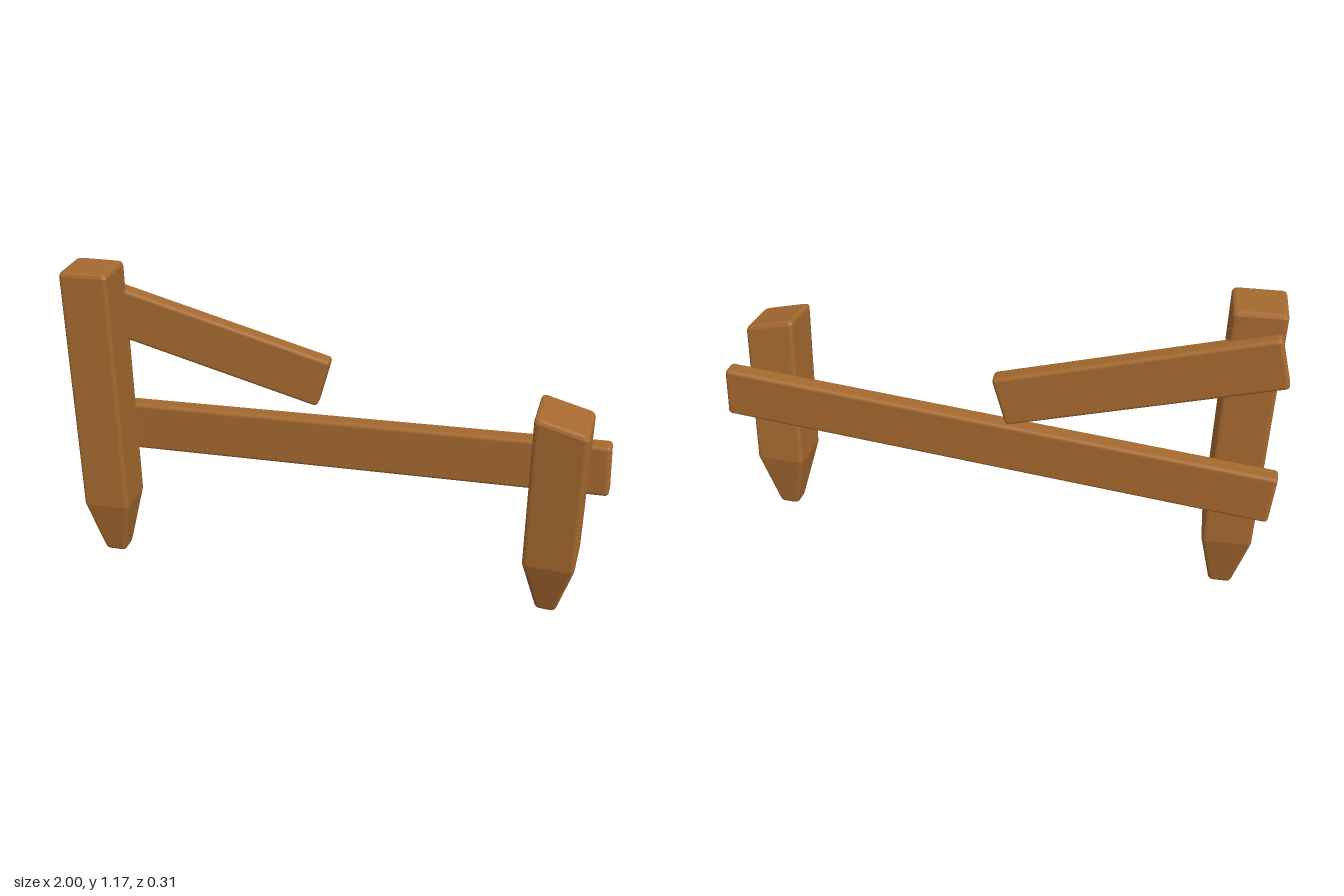
import * as THREE from 'three';
import { RoundedBoxGeometry } from 'three/addons/geometries/RoundedBoxGeometry.js';

const BEVEL = 0.014;

// Square outline with rounded corners, as [x, z] pairs
function roundedSquare(half, radius) {
  const points = [];
  for (let corner = 0; corner < 4; corner++) {
    const mid = (corner + 0.5) * Math.PI / 2;
    const cx = Math.sign(Math.cos(mid)) * (half - radius);
    const cz = Math.sign(Math.sin(mid)) * (half - radius);
    for (let k = 0; k < 4; k++) {
      const a = (corner + k / 3) * Math.PI / 2;
      points.push([cx + radius * Math.cos(a), cz + radius * Math.sin(a)]);
    }
  }
  return points;
}

// Stake lofted through square sections: tapered foot, straight shaft, top cut at a slope
function postGeometry({ height, half, footHalf, shoulder, slope = 0 }) {
  const b = BEVEL;
  const sections = [
    [0, footHalf - b], [b * 0.3, footHalf - b * 0.3], [b, footHalf],
    [shoulder, half],
    [height - b, half], [height - b * 0.3, half - b * 0.3], [height, half - b],
  ];
  const positions = [], index = [], n = 16;
  sections.forEach(([y, h], i) => {
    for (const [x, z] of roundedSquare(h, b)) positions.push(x, y - (i > 3 ? slope * x : 0), z);
  });
  for (let i = 0; i < sections.length - 1; i++) {
    for (let j = 0; j < n; j++) {
      const a = i * n + j, c = i * n + (j + 1) % n;
      index.push(a, a + n, c, c, a + n, c + n);
    }
  }
  // End caps
  const last = (sections.length - 1) * n, bottom = positions.length / 3, top = bottom + 1;
  positions.push(0, 0, 0, 0, height, 0);
  for (let j = 0; j < n; j++) {
    const k = (j + 1) % n;
    index.push(bottom, j, k, top, last + k, last + j);
  }
  const geometry = new THREE.BufferGeometry();
  geometry.setAttribute('position', new THREE.Float32BufferAttribute(positions, 3));
  geometry.setIndex(index);
  const flat = geometry.toNonIndexed();
  flat.computeVertexNormals();
  return flat;
}

export function createModel() {
  const group = new THREE.Group();
  const wood = new THREE.MeshStandardMaterial({ color: 0xa5692f });

  function add(name, geometry, position, rotation) {
    const mesh = new THREE.Mesh(geometry, wood);
    mesh.name = name;
    mesh.position.set(...position);
    mesh.rotation.set(...rotation, 'YXZ');
    group.add(mesh);
  }

  // Tall upright post, slightly twisted
  add('tallPost', postGeometry({ height: 1.17, half: 0.088, footHalf: 0.043, shoulder: 0.23 }),
    [-0.855, 0, 0.036], [0, 0.087, 0]);

  // Short post leaning forward, with a slanted top
  add('shortPost', postGeometry({ height: 0.803, half: 0.09, footHalf: 0.039, shoulder: 0.23, slope: 0.25 }),
    [0.835, 0.063, -0.003], [0.087, 0, 0]);

  // Long rail joining both posts
  add('lowerRail', new RoundedBoxGeometry(1.99, 0.19, 0.066, 3, BEVEL),
    [0, 0.55, -0.08], [0, 0, 0.061]);

  // Broken rail hanging from the tall post
  add('brokenRail', new RoundedBoxGeometry(0.955, 0.188, 0.063, 3, BEVEL),
    [-0.503, 0.89, -0.088], [0, 0.08, -0.265]);

  return group;
}
